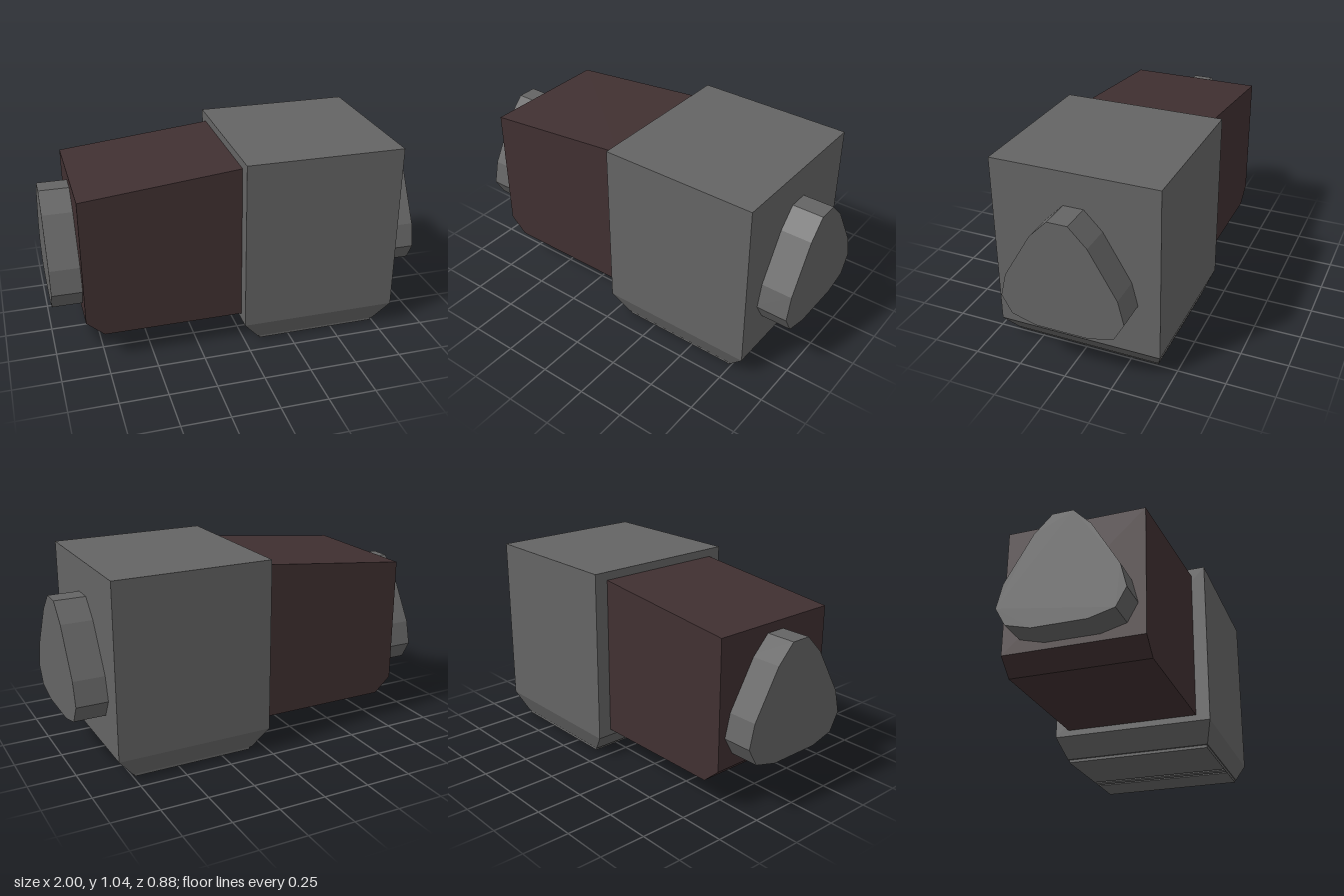
import * as THREE from 'three';

const shapeOf = (pts) => new THREE.Shape(pts.map(([x, y]) => new THREE.Vector2(x, y)));
const extrude = (shape, depth) => new THREE.ExtrudeGeometry(shape, { depth, bevelEnabled: false });

export function createModel() {
  const group = new THREE.Group();
  const grey = new THREE.MeshStandardMaterial({ color: 0x646464, flatShading: true });
  grey.name = 'dark grey';
  const brown = new THREE.MeshStandardMaterial({ color: 0x403031, flatShading: true });
  brown.name = 'dark brown';

  const add = (name, geometry, material, x = 0, y = 0, z = 0) => {
    const mesh = new THREE.Mesh(geometry, material);
    mesh.name = name;
    mesh.position.set(x, y, z);
    group.add(mesh);
    return mesh;
  };

  // Main housing
  const x0 = -0.01, x1 = 0.835, cx = (x0 + x1) / 2, lip = 0.12, sole = 0.015;
  add('housing', new THREE.BoxGeometry(x1 - x0, 1.043 - lip, 0.875), grey, cx, (1.043 + lip) / 2, 0);

  // Tapered foot under the housing
  const foot = new THREE.BoxGeometry(x1 - x0, lip - sole, 0.875);
  const p = foot.attributes.position;
  for (let i = 0; i < p.count; i++) {
    if (p.getY(i) < 0) {
      p.setX(i, Math.sign(p.getX(i)) * 0.338);
      p.setZ(i, Math.sign(p.getZ(i)) * 0.398);
    }
  }
  foot.computeVertexNormals();
  add('foot', foot, grey, cx, (lip + sole) / 2, 0);

  // Sole plate with two narrow grooves running front to back
  const w = 0.328, d = 0.393;
  const plate = shapeOf([[-w, -d], [w, -d], [w, d], [-w, d]]);
  for (const x of [0.07, 0.125]) {
    const e = d - 0.005, h = 0.01;
    plate.holes.push(new THREE.Path([[x - h, -e], [x - h, e], [x + h, e], [x + h, -e]]
      .map(([a, b]) => new THREE.Vector2(a, b))));
  }
  add('solePlate', extrude(plate, sole).rotateX(-Math.PI / 2), grey, cx, 0, 0);

  // Sloped side block with a chamfered lower end
  const block = shapeOf([[-0.75, 0.153], [0, 0.153], [0, 1.0], [-0.842, 0.914], [-0.842, 0.235]]);
  add('sideBlock', extrude(block, 0.725), brown, 0, 0, -0.3625);

  // Matching rounded-triangle lugs on both ends
  const half = [[0.14, 0.27], [0.27, 0.305], [0.323, 0.4], [0.292, 0.525], [0.147, 0.77], [0.053, 0.866]];
  const outline = shapeOf([...half, ...half.map(([z, y]) => [-z, y]).reverse()]);
  for (const [name, start] of [['leftLug', 0.82], ['rightLug', -1]]) {
    add(name, extrude(outline, 0.18).rotateY(Math.PI / 2), grey, start, 0, 0);
  }
  return group;
}
